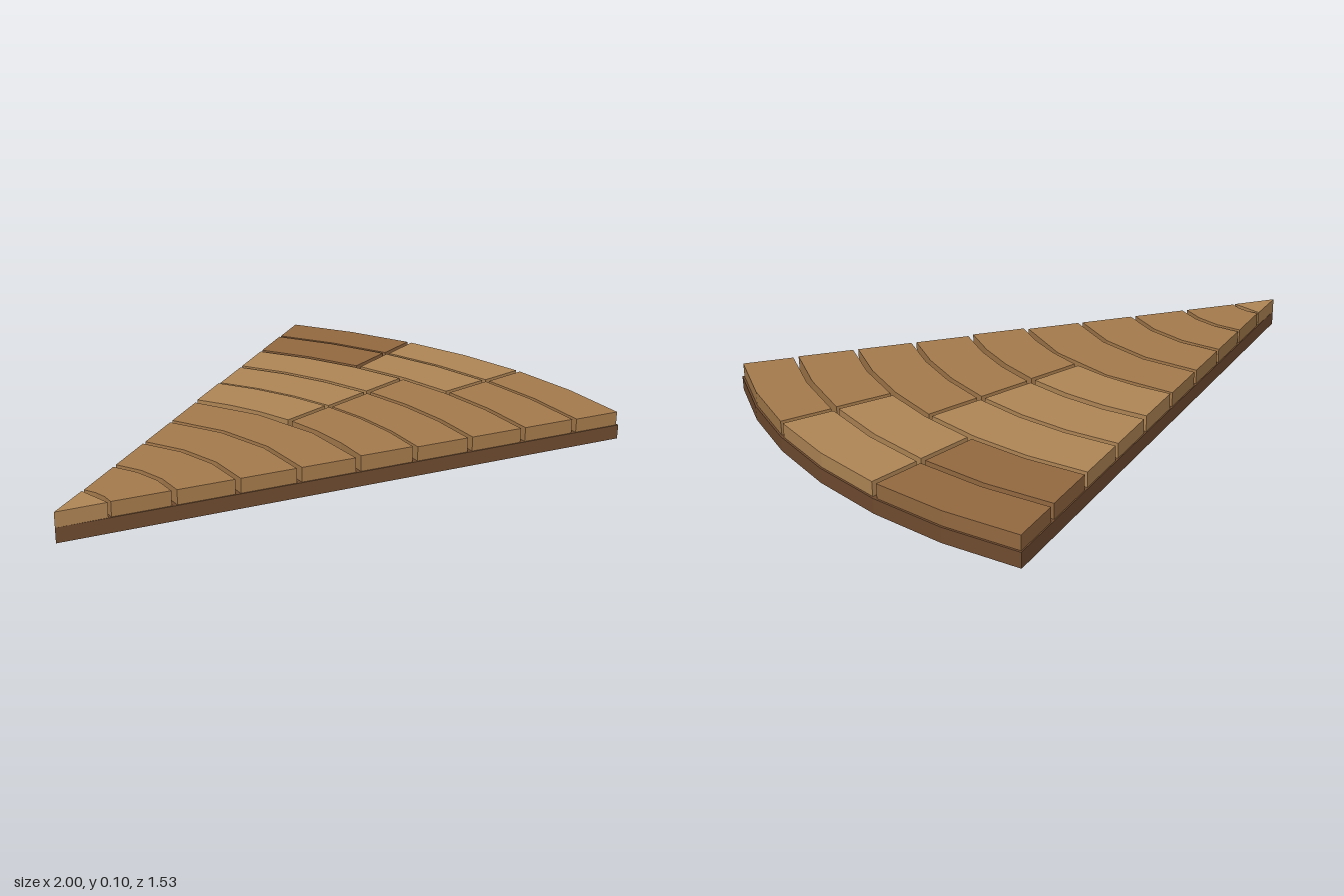
import * as THREE from 'three';

const HALF = Math.PI / 8;   // half of the 45 degree wedge
const SPLIT = Math.PI / 24; // joints of the three-tile rings
const wood = (color) => new THREE.MeshStandardMaterial({ color, flatShading: true });

// Flat slab from plan points [x, back], standing from y0 to y1
function slab(name, points, y0, y1, material) {
  const shape = new THREE.Shape(points.map(([x, b]) => new THREE.Vector2(x, b)));
  const geo = new THREE.ExtrudeGeometry(shape, { depth: y1 - y0, bevelEnabled: false });
  geo.rotateX(-Math.PI / 2).translate(0, y0, 0);
  const mesh = new THREE.Mesh(geo, material);
  mesh.name = name;
  return mesh;
}

// Faceted arc about the apex; each end is pulled in by a constant distance
function arc(r, a0, a1, segments, inset0 = 0, inset1 = 0) {
  const s = a0 + Math.asin(inset0 / r), e = a1 - Math.asin(inset1 / r);
  return Array.from({ length: segments + 1 }, (_, i) => {
    const a = s + ((e - s) * i) / segments;
    return [-1 + r * Math.cos(a), r * Math.sin(a)];
  });
}

export function createModel() {
  const group = new THREE.Group();
  const light = wood(0xb08655), mid = wood(0xa67b4c), dark = wood(0x946940), brown = wood(0x704c30);

  // Base wedge
  group.add(slab('base', [[-1, 0], ...arc(2, -HALF, HALF, 6)], 0, 0.05, brown));

  // Pointed tile at the apex
  group.add(slab('tipTile', [[-1, 0], [-0.85, -0.06], [-0.85, 0.06]], 0.05, 0.1, light));

  // Rings of tiles, with one, two or three tiles each
  const layouts = {
    1: { joints: [-HALF, HALF], segments: 3, colors: [mid] },
    2: { joints: [-HALF, 0, HALF], segments: 3, colors: [mid, light] },
    3: { joints: [-HALF, -SPLIT, SPLIT, HALF], segments: 2, colors: [mid, light, dark] },
  };
  const counts = [1, 1, 1, 1, 2, 2, 2, 3, 3];
  const tops = [0.1, 0.1, 0.1, 0.1, 0.104, 0.1, 0.1, 0.1, 0.098];
  const pitch = 0.2065, gap = 0.009, rim = 0.004;

  counts.forEach((count, ring) => {
    const { joints, segments, colors } = layouts[count];
    const middle = 0.163 + ring * pitch;
    const inner = middle + gap;
    const outer = ring === 8 ? 1.993 : middle + pitch - gap;
    for (let i = 0; i < count; i++) {
      const i0 = i === 0 ? rim : gap, i1 = i === count - 1 ? rim : gap;
      const points = [
        ...arc(outer, joints[i], joints[i + 1], segments, i0, i1),
        ...arc(inner, joints[i], joints[i + 1], segments, i0, i1).reverse(),
      ];
      group.add(slab(`ring${ring + 1}Tile${i + 1}`, points, 0.05, tops[ring], colors[i]));
    }
  });
  return group;
}
